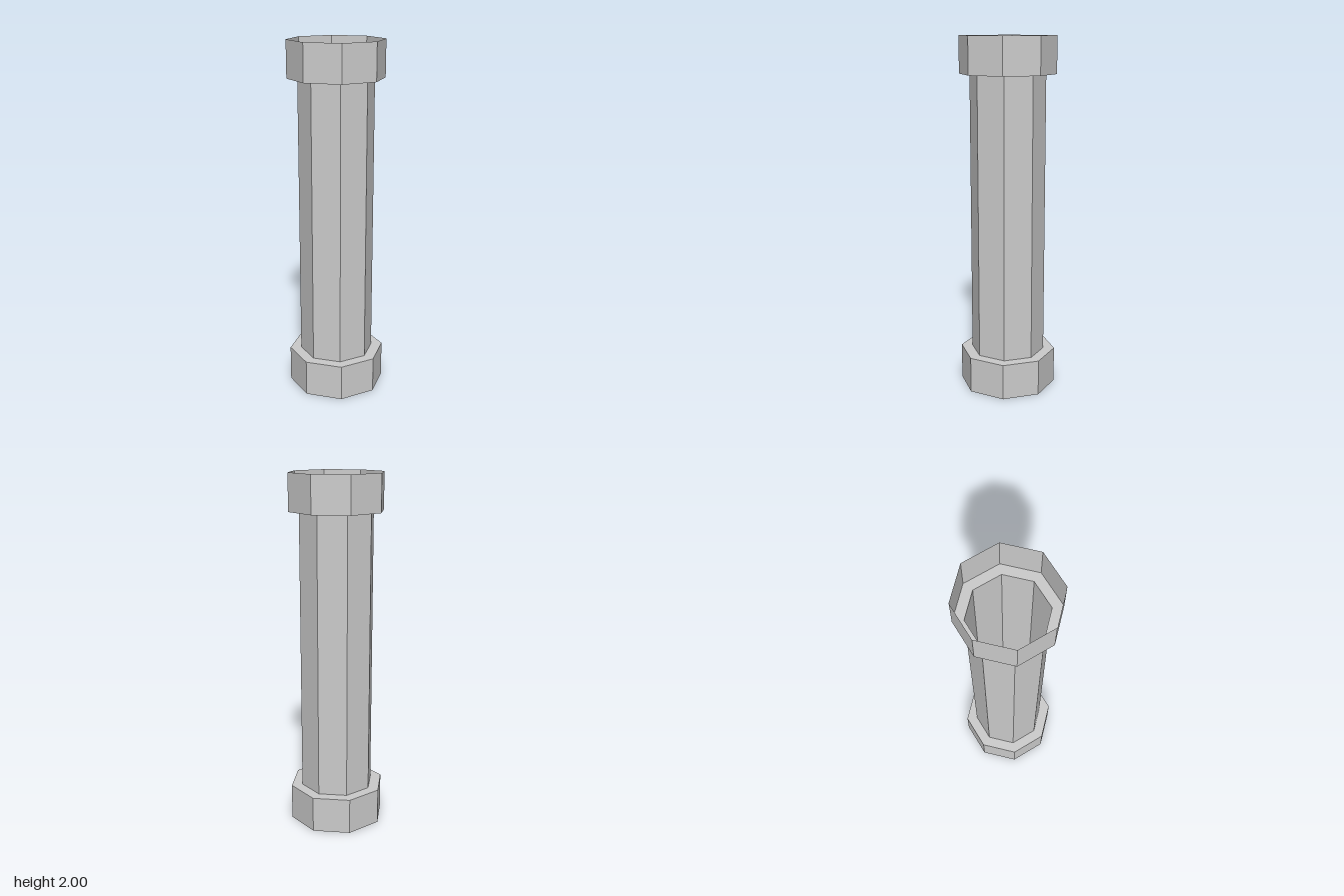
import * as THREE from 'three';

const SIDES = 8;
const SHAFT_R = 0.21;
const BASE_R = 0.274;
const TOP_R = 0.268;
const BASE_Y = 0.205;
const TOP_Y = 1.795;
const HEIGHT = 2;

export function createModel() {
  const group = new THREE.Group();
  group.name = 'octagonalPipe';

  // Open, thin-walled sheet seen from inside and out
  const material = new THREE.MeshStandardMaterial({
    color: 0xcccccc, flatShading: true, side: THREE.DoubleSide,
  });

  // Spins a [radius, y] profile into an eight-sided shell
  const addShell = (name, profile) => {
    const points = profile.map(([r, y]) => new THREE.Vector2(r, y));
    const mesh = new THREE.Mesh(new THREE.LatheGeometry(points, SIDES), material);
    mesh.name = name;
    group.add(mesh);
  };

  // Lower collar: open below, with a ledge running in to the shaft
  addShell('baseCollar', [[BASE_R, 0], [BASE_R, BASE_Y], [SHAFT_R, BASE_Y]]);

  // Hollow shaft
  addShell('shaft', [[SHAFT_R, BASE_Y], [SHAFT_R, TOP_Y]]);

  // Upper collar: ledge running out from the shaft, open above
  addShell('topCollar', [[SHAFT_R, TOP_Y], [TOP_R, TOP_Y], [TOP_R, HEIGHT]]);

  return group;
}
